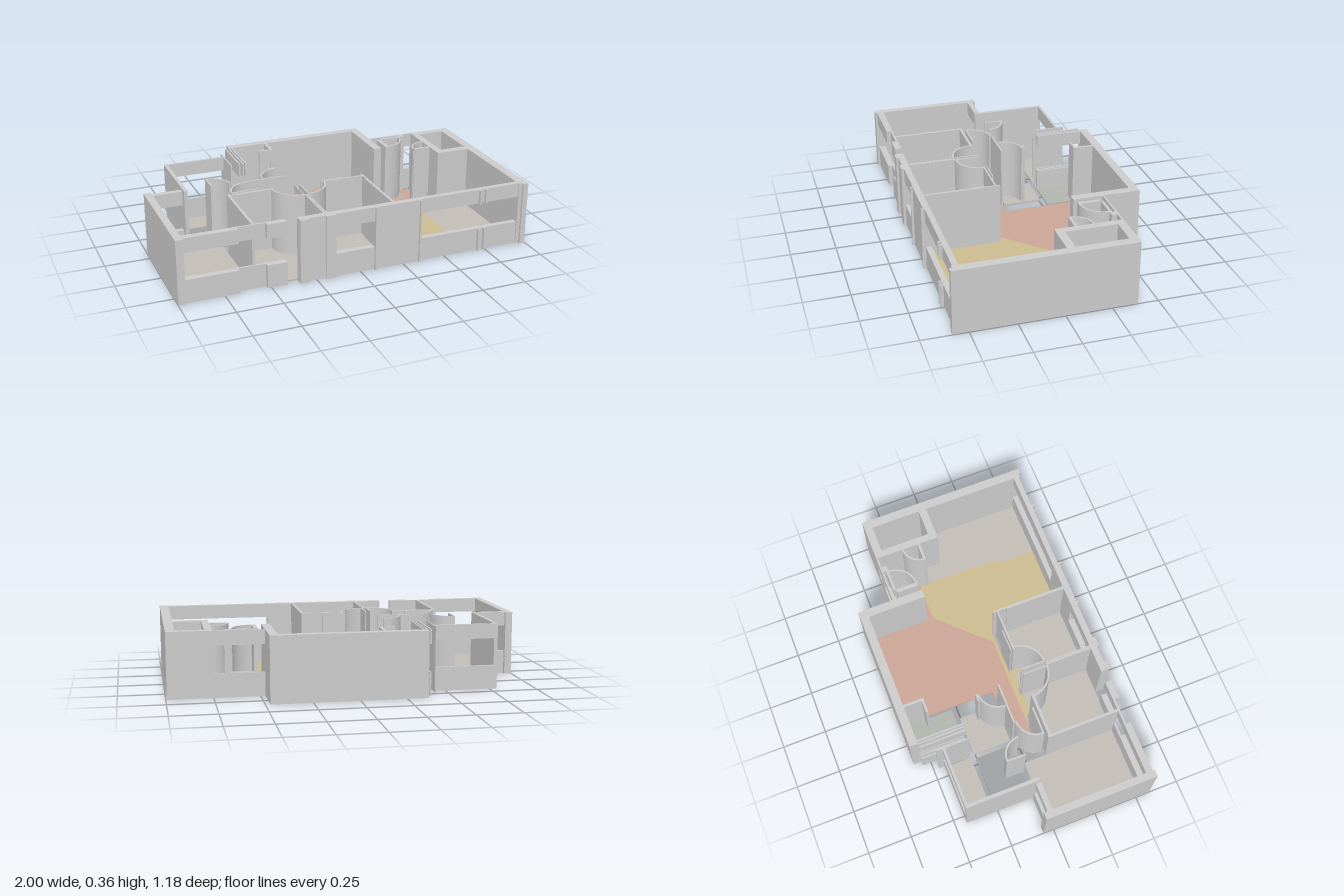
import * as THREE from 'three';

const H = 0.36, SILL = 0.13, LINTEL = 0.28, SLAB = 0.008;

export function createModel() {
  const model = new THREE.Group();
  const wallMat = new THREE.MeshStandardMaterial({ color: 0xcccccc, side: THREE.DoubleSide });

  const box = (name, x0, x1, z0, z1, y0 = 0, y1 = H) => {
    const m = new THREE.Mesh(new THREE.BoxGeometry(x1 - x0, y1 - y0, z1 - z0), wallMat);
    m.position.set((x0 + x1) / 2, (y0 + y1) / 2, (z0 + z1) / 2);
    m.name = name;
    model.add(m);
  };
  // Low wall and header with an open band between them
  const windowWall = (name, x0, x1, z0, z1) => {
    box(name + 'Sill', x0, x1, z0, z1, 0, SILL);
    box(name + 'Lintel', x0, x1, z0, z1, LINTEL, H);
  };
  // Plan outline (x, z) raised to a height
  const raise = (name, shape, height, material) => {
    const g = new THREE.ExtrudeGeometry(shape, { depth: height, bevelEnabled: false, curveSegments: 12 });
    g.rotateX(Math.PI / 2).translate(0, height, 0);
    const m = new THREE.Mesh(g, material);
    m.name = name;
    model.add(m);
  };
  const floor = (name, color, pts) => raise(name,
    new THREE.Shape(pts.map(p => new THREE.Vector2(...p))), SLAB,
    new THREE.MeshStandardMaterial({ color }));
  const rectFloor = (name, color, x0, x1, z0, z1) =>
    floor(name, color, [[x0, z0], [x1, z0], [x1, z1], [x0, z1]]);
  // Quarter-round thin wall along a door swing; q counts quadrants from +x towards +z
  const swing = (name, cx, cz, r, q) => {
    const a = q * Math.PI / 2, b = a + Math.PI / 2, s = new THREE.Shape();
    s.absarc(cx, cz, r, a, b, false);
    s.absarc(cx, cz, r - 0.01, b, a, true);
    s.closePath();
    raise(name, s, H, wallMat);
  };

  // Floors
  const beige = 0xc2bdb5;
  rectFloor('leftBedroomFloor', beige, -0.96, -0.59, -0.01, 0.535);
  rectFloor('middleBedroomFloor', beige, -0.575, -0.2, 0.14, 0.535);
  rectFloor('innerBedroomFloor', beige, -0.18, 0.195, 0.14, 0.535);
  rectFloor('balconyFloor', beige, -0.77, -0.45, -0.42, -0.28);
  rectFloor('bathroomFloor', 0x9fa0a2, -0.745, -0.465, -0.255, -0.04);
  rectFloor('washroomFloor', beige, -0.44, -0.21, -0.255, -0.035);
  rectFloor('kitchenFloor', 0xb2b5ae, -0.35, -0.145, -0.55, -0.28);
  rectFloor('storeFloor', beige, 0.79, 0.945, -0.345, -0.06);
  rectFloor('toiletFloor', 0xb2b5ae, 0.53, 0.65, -0.345, -0.23);
  floor('rightBedroomFloor', beige, [[0.65, -0.135], [0.75, -0.135], [0.75, -0.015], [0.945, -0.015],
    [0.945, 0.535], [0.62, 0.535], [0.62, 0.36], [0.65, 0.28]]);
  floor('diningFloor', 0xcaa596, [[-0.13, -0.55], [0.43, -0.55], [0.43, -0.215], [0.51, -0.215],
    [0.51, -0.23], [0.65, -0.23], [0.65, -0.345], [0.75, -0.345], [0.75, -0.24], [0.68, -0.21],
    [0.65, -0.18], [0.43, -0.18], [0.16, 0.095], [-0.56, 0.095], [-0.52, 0.03], [-0.44, -0.01], [-0.13, -0.02]]);
  floor('livingFloor', 0xccbc90, [[0.43, -0.18], [0.65, -0.18], [0.65, 0.28], [0.62, 0.36],
    [0.62, 0.535], [0.205, 0.535], [0.205, 0.115], [-0.03, 0.115], [-0.05, 0.14], [-0.17, 0.14],
    [-0.17, 0.12], [-0.2, 0.12], [-0.2, 0.14], [-0.33, 0.14], [-0.33, 0.115], [-0.4, 0.095], [0.16, 0.095]]);
  for (const [x, z, r, q] of [[-0.2, 0.14, 0.13, 1], [-0.17, 0.14, 0.12, 0]]) {
    const s = new THREE.Shape();
    s.moveTo(x, z);
    s.absarc(x, z, r, q * Math.PI / 2, (q + 1) * Math.PI / 2, false);
    raise('doorSwingFloor', s, SLAB + 0.001, new THREE.MeshStandardMaterial({ color: 0xccbc90 }));
  }

  // Left bedroom shell
  box('leftWall', -1, -0.96, -0.06, 0.58);
  windowWall('leftBedroomRearWindow', -0.96, -0.8, -0.04, -0.01);
  box('balconySideWall', -0.79, -0.77, -0.435, -0.01);
  windowWall('balconyWindow', -0.77, -0.44, -0.435, -0.42);
  box('balconyEndWall', -0.44, -0.432, -0.47, -0.28);

  // Front wall
  windowWall('frontLeftWindow', -0.96, -0.41, 0.53, 0.542);
  for (const [x0, x1] of [[-0.96, -0.67], [-0.52, -0.41]])
    windowWall('frontLeftWindowLedge', x0, x1, 0.542, 0.567);
  box('frontPier', -0.345, -0.145, 0.535, 0.572);
  windowWall('frontMiddleWindow', -0.145, 0.08, 0.535, 0.57);
  box('frontPier', 0.08, 0.35, 0.535, 0.572);
  windowWall('frontRightWindow', 0.35, 0.95, 0.535, 0.565);
  for (const [x0, x1] of [[-0.345, -0.295], [-0.2, -0.145], [0.08, 0.09], [0.34, 0.35]])
    box('frontPierRib', x0, x1, 0.572, 0.585);
  for (const x of [0.7, 0.735]) windowWall('frontWindowRib', x, x + 0.01, 0.565, 0.582);

  // Right side
  box('rightWall', 0.945, 0.995, -0.39, 0.572);
  box('rightWallEnd', 0.965, 0.995, 0.572, 0.585);
  box('storeRearWall', 0.75, 0.945, -0.39, -0.345);
  box('storeSideWall', 0.75, 0.79, -0.345, -0.015);
  box('storeFrontWall', 0.79, 0.945, -0.06, -0.015);
  box('rightBedroomReturn', 0.65, 0.75, -0.14, -0.125);
  windowWall('toiletWindow', 0.475, 0.75, -0.39, -0.38);
  windowWall('toiletWindowInner', 0.53, 0.69, -0.365, -0.35);
  box('toiletSideWall', 0.508, 0.53, -0.35, -0.225);
  box('toiletPost', 0.66, 0.69, -0.39, -0.35);

  // Rear block
  box('rearWall', -0.365, 0.475, -0.595, -0.548);
  box('rearSideWall', 0.428, 0.475, -0.548, -0.215);
  for (const x of [-0.39, -0.37, -0.353])
    windowWall('kitchenWindow', x, x + 0.009, -0.548, -0.28);
  box('kitchenPartition', -0.145, -0.13, -0.55, -0.43);
  box('kitchenDoorPost', -0.215, -0.145, -0.445, -0.432);

  // Partitions of the front rooms
  box('bedroomPartition', -0.59, -0.575, 0.12, 0.535);
  box('middlePartition', -0.2, -0.19, 0.27, 0.535);
  box('middlePartition', -0.188, -0.18, 0.27, 0.535);
  box('livingPartition', 0.19, 0.205, 0.19, 0.535);
  box('livingPartitionEnd', 0.195, 0.205, 0.11, 0.19);
  box('corridorWall', -0.575, -0.33, 0.125, 0.14);
  box('corridorWallFace', -0.56, -0.4, 0.1, 0.11);
  box('corridorWall', -0.05, 0.195, 0.13, 0.14);
  box('corridorWallFace', -0.05, 0.08, 0.115, 0.122);
  box('hallWall', -0.44, -0.21, -0.025, -0.015);

  // Door leaves and their swings
  swing('bathroomDoorSwing', -0.63, -0.03, 0.11, 3);
  box('bathroomDoor', -0.635, -0.625, -0.14, -0.03);
  swing('washroomDoorSwing', -0.22, -0.03, 0.12, 2);
  box('washroomDoor', -0.26, -0.215, -0.16, -0.15);
  swing('leftBedroomDoorSwing', -0.44, 0.105, 0.12, 2);
  swing('middleBedroomDoorSwing', -0.2, 0.13, 0.145, 1);
  box('middleBedroomDoor', -0.207, -0.2, 0.13, 0.27);
  swing('innerBedroomDoorSwing', -0.17, 0.13, 0.14, 0);
  box('innerBedroomDoor', -0.178, -0.17, 0.13, 0.27);
  swing('toiletDoorSwing', 0.53, -0.35, 0.125, 0);
  swing('rightBedroomDoorSwing', 0.75, -0.13, 0.105, 2);

  return model;
}
